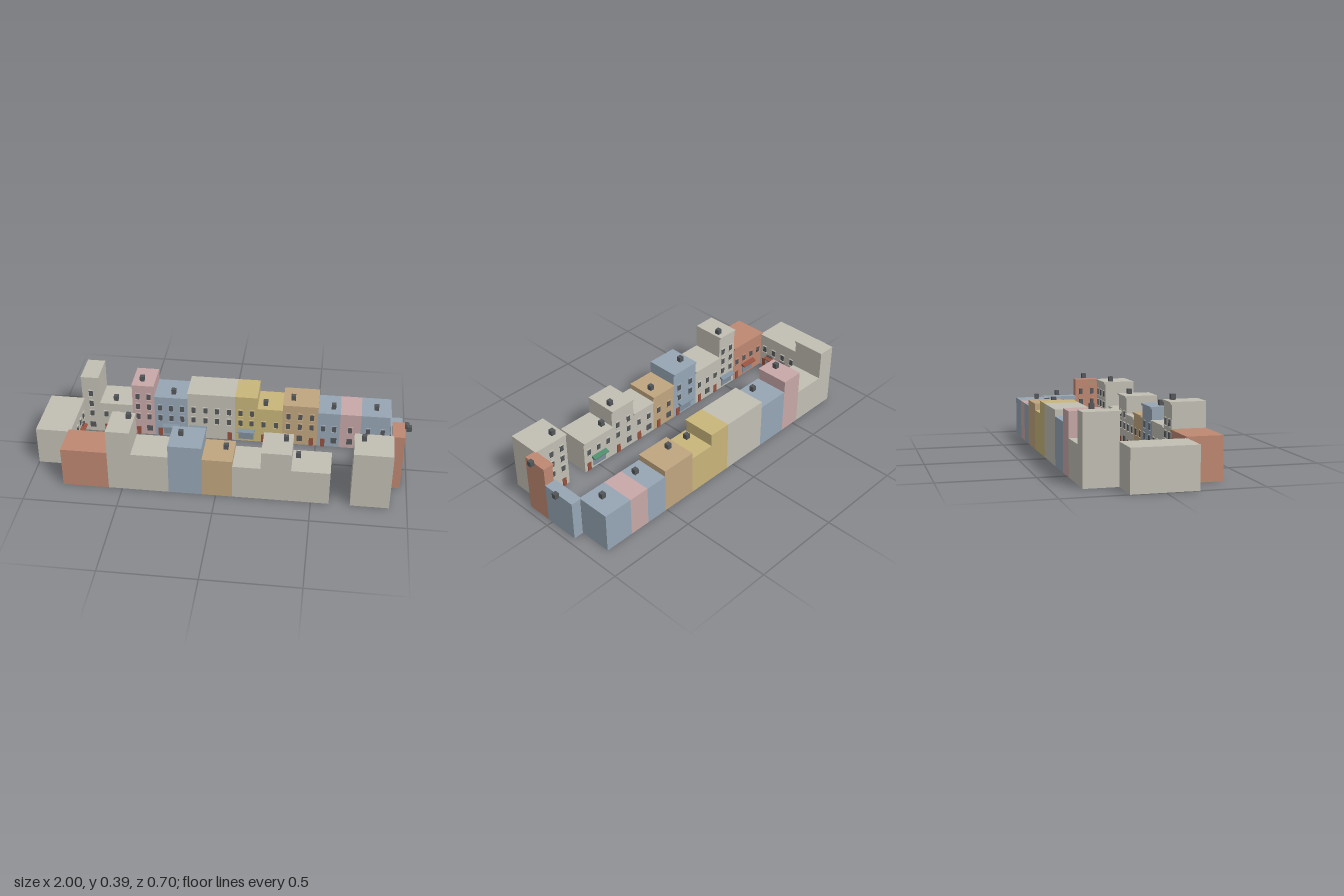
import * as THREE from 'three';

const mat = (name, color) => {
  const m = new THREE.MeshStandardMaterial({ color });
  m.name = name;
  return m;
};

export function createModel() {
  const M = {
    stone: mat('stone', 0xc2bfb4), brick: mat('brick', 0xbf8872), blue: mat('blue plaster', 0x97a6b5),
    pink: mat('pink plaster', 0xc8a8a8), yellow: mat('yellow plaster', 0xc9b67b), tan: mat('tan plaster', 0xc1a680),
    dark: mat('dark grey', 0x54575a), glass: mat('shop glass', 0x7f8f9c),
    green: mat('green', 0x4f8a6c), red: mat('dark red', 0x96513f),
  };
  const root = new THREE.Group();
  root.name = 'streetBlock';

  const box = (parent, name, m, w, h, d, x, y, z) => {
    const mesh = new THREE.Mesh(new THREE.BoxGeometry(w, h, d), m);
    mesh.name = name;
    mesh.position.set(x, y, z);
    parent.add(mesh);
    return mesh;
  };

  // Sloped canopy, w wide, standing d out from the wall
  const awning = (parent, m, w, d, x, y) => {
    const s = new THREE.Shape([[0, 0], [0, 0.014], [d, 0.005], [d, 0]].map(p => new THREE.Vector2(...p)));
    const geo = new THREE.ExtrudeGeometry(s, { depth: w, bevelEnabled: false });
    geo.rotateY(-Math.PI / 2);
    geo.translate(w / 2, 0, 0);
    const mesh = new THREE.Mesh(geo, m);
    mesh.name = 'awning';
    mesh.position.set(x, y, 0);
    parent.add(mesh);
  };

  // One house in a local frame: the street wall is at z = 0 and faces +z
  const house = (row, o) => {
    const g = new THREE.Group();
    g.name = 'house';
    g.position.x = o.x;
    row.add(g);
    const { w, h, d } = o, wall = M[o.color];
    box(g, 'walls', wall, w, h, d, 0, h / 2, -d / 2);
    box(g, 'cornice', wall, w, 0.008, 0.009, 0, h - 0.004, 0.0045);
    box(g, 'corniceBand', wall, w, 0.006, 0.005, 0, h - 0.011, 0.0025);

    // Upper windows, with lintel and sill
    const floors = Math.max(1, Math.floor((h - 0.125) / 0.066));
    const cols = Math.max(1, Math.floor(w / 0.06));
    const bay = w / cols;
    for (let c = 0; c < cols; c++) {
      const x = (c + 0.5) * bay - w / 2;
      for (let f = 0; f < floors; f++) {
        const y = 0.12 + f * 0.066;
        box(g, 'window', M.dark, 0.022, 0.036, 0.004, x, y, 0.002);
        box(g, 'windowSill', wall, 0.03, 0.004, 0.008, x, y - 0.02, 0.004);
        box(g, 'windowLintel', wall, 0.028, 0.004, 0.006, x, y + 0.02, 0.003);
      }
      // Ground floor bays when there is no wide shop
      if (!o.awning) {
        if (c % 2 === 0 && cols > 1) box(g, 'door', M.red, 0.024, 0.05, 0.004, x, 0.025, 0.002);
        else box(g, 'groundWindow', M.dark, 0.032, 0.034, 0.004, x, 0.043, 0.002);
      }
    }
    // Wide shop front under its awning
    if (o.awning) {
      const sx = o.shopX || 0, sw = o.shopW || 0.1;
      box(g, 'shopWindow', M.glass, sw - 0.014, 0.044, 0.004, sx, 0.036, 0.002);
      awning(g, M[o.awning], sw, 0.026, sx, 0.066);
      if (w > sw + 0.06) {
        const side = sx < 0 ? 1 : -1;
        box(g, 'door', M.red, 0.024, 0.05, 0.004, side * (w / 2 - 0.03), 0.025, 0.002);
      }
    }
    if (o.chimney) box(g, 'chimney', M.dark, 0.025, 0.029, 0.025, o.chimney[0], h + 0.0145, o.chimney[1]);
    return g;
  };

  const makeRow = (name, x, z, turn) => {
    const r = new THREE.Group();
    r.name = name;
    r.position.set(x, 0, z);
    r.rotation.y = turn;
    root.add(r);
    return r;
  };

  // Long rows: [x0, x1, height, colour, chimney [x, z] or 0, awning colour, shop centre x]
  const longRow = (name, z, dir, list) => {
    const row = makeRow(name, 0, z, dir > 0 ? 0 : Math.PI);
    for (const [x0, x1, h, color, ch, aw, sx] of list) {
      const cx = (x0 + x1) / 2;
      house(row, {
        x: dir * cx, w: x1 - x0, h, d: 0.18, color, awning: aw,
        shopX: sx === undefined ? 0 : dir * (sx - cx),
        chimney: ch && [dir * (ch[0] - cx), dir * (ch[1] - z)],
      });
    }
  };
  longRow('backRow', -0.168, 1, [
    [-0.82, -0.72, 0.36, 'stone', 0],
    [-0.72, -0.535, 0.195, 'stone', [-0.635, -0.205]],
    [-0.535, -0.41, 0.327, 'pink', [-0.483, -0.22]],
    [-0.41, -0.223, 0.26, 'blue', [-0.305, -0.21], 'glass'],
    [-0.223, 0.045, 0.295, 'stone', 0, 'glass', -0.165],
    [0.045, 0.17, 0.295, 'yellow', 0, 'glass'],
    [0.17, 0.31, 0.225, 'yellow', [0.212, -0.21]],
    [0.31, 0.507, 0.26, 'tan', [0.365, -0.228]],
    [0.507, 0.63, 0.225, 'blue', [0.59, -0.22]],
    [0.63, 0.745, 0.225, 'pink', 0],
    [0.745, 0.908, 0.225, 'blue', [0.825, -0.235]],
  ]);
  longRow('frontRow', 0.168, -1, [
    [-0.82, -0.573, 0.225, 'brick', 0, 'red'],
    [-0.573, -0.447, 0.36, 'stone', [-0.476, 0.205], 'glass'],
    [-0.447, -0.25, 0.225, 'stone', 0],
    [-0.25, -0.073, 0.295, 'blue', [-0.195, 0.235], 'glass'],
    [-0.073, 0.087, 0.225, 'tan', [0.042, 0.23]],
    [0.087, 0.235, 0.195, 'stone', 0],
    [0.235, 0.392, 0.295, 'stone', [0.355, 0.218]],
    [0.392, 0.595, 0.195, 'stone', [0.422, 0.218], 'green'],
    [0.705, 0.908, 0.327, 'stone', [0.755, 0.213]],
  ]);

  // Short end closing the left of the street, with a long awning and planters
  const west = makeRow('endHouseWest', -0.818, 0, Math.PI / 2);
  house(west, { x: 0.002, w: 0.337, h: 0.216, d: 0.182, color: 'stone', awning: 'red', shopW: 0.245 });
  for (const x of [-0.09, 0, 0.1]) box(west, 'lamp', M.dark, 0.04, 0.006, 0.012, x, 0.088, 0.007);
  for (let i = 0; i < 7; i++) {
    const x = -0.105 + i * 0.035;
    const shrub = new THREE.Mesh(new THREE.IcosahedronGeometry(0.011, 0), M.green);
    shrub.name = 'shrub';
    shrub.position.set(x, 0.022, 0.02);
    west.add(shrub);
    box(west, 'planter', M.red, 0.024, 0.014, 0.014, x, 0.007, 0.02);
  }

  // Two shallow houses closing the other end
  const east = makeRow('endHousesEast', 0.91, 0, -Math.PI / 2);
  house(east, { x: -0.07, w: 0.197, h: 0.225, d: 0.055, color: 'blue', chimney: [-0.004, -0.075] });
  house(east, { x: 0.099, w: 0.141, h: 0.327, d: 0.055, color: 'brick', chimney: [0.001, -0.075] });
  return root;
}
